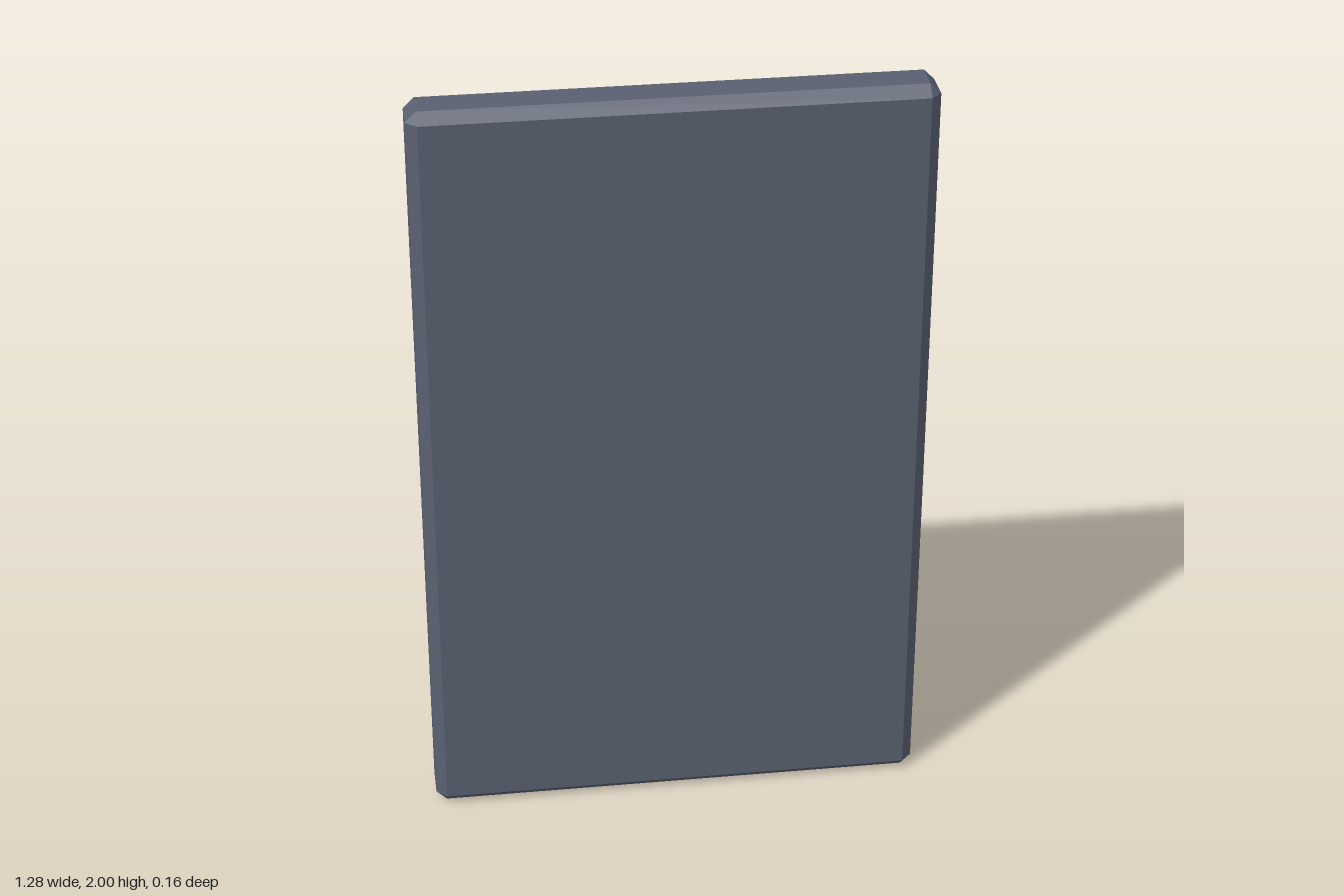
import * as THREE from 'three';
import { ConvexGeometry } from 'three/addons/geometries/ConvexGeometry.js';

// Box with every edge chamfered by c: each corner becomes a small triangle.
function chamferBox(w, h, d, c) {
  const points = [];
  for (const sx of [-1, 1]) for (const sy of [-1, 1]) for (const sz of [-1, 1]) {
    const x = w / 2, y = h / 2, z = d / 2;
    points.push(
      new THREE.Vector3(sx * x, sy * (y - c), sz * (z - c)),
      new THREE.Vector3(sx * (x - c), sy * y, sz * (z - c)),
      new THREE.Vector3(sx * (x - c), sy * (y - c), sz * z)
    );
  }
  return new ConvexGeometry(points);
}

export function createModel() {
  const model = new THREE.Group();
  model.name = 'panel';

  const bodyMat = new THREE.MeshStandardMaterial({ color: 0x596070, flatShading: true });
  const plateMat = new THREE.MeshStandardMaterial({ color: 0x8a909c, flatShading: true });
  const stripMat = new THREE.MeshStandardMaterial({ color: 0x22b8cc, flatShading: true });

  const add = (name, geometry, material, z) => {
    const mesh = new THREE.Mesh(geometry, material);
    mesh.name = name;
    mesh.position.set(0, 1, z);
    model.add(mesh);
  };

  // Thick chamfered slab
  add('slab', chamferBox(1.28, 2, 0.136, 0.027), bodyMat, 0.012);

  // Thin plate on the back
  add('backPlate', chamferBox(1.206, 1.888, 0.02, 0.008), plateMat, -0.065);

  // Crossed strips standing proud of the plate
  add('verticalStrip', new THREE.BoxGeometry(0.02, 1.64, 0.012), stripMat, -0.075);
  add('horizontalStrip', new THREE.BoxGeometry(1.05, 0.02, 0.012), stripMat, -0.0748);

  return model;
}
